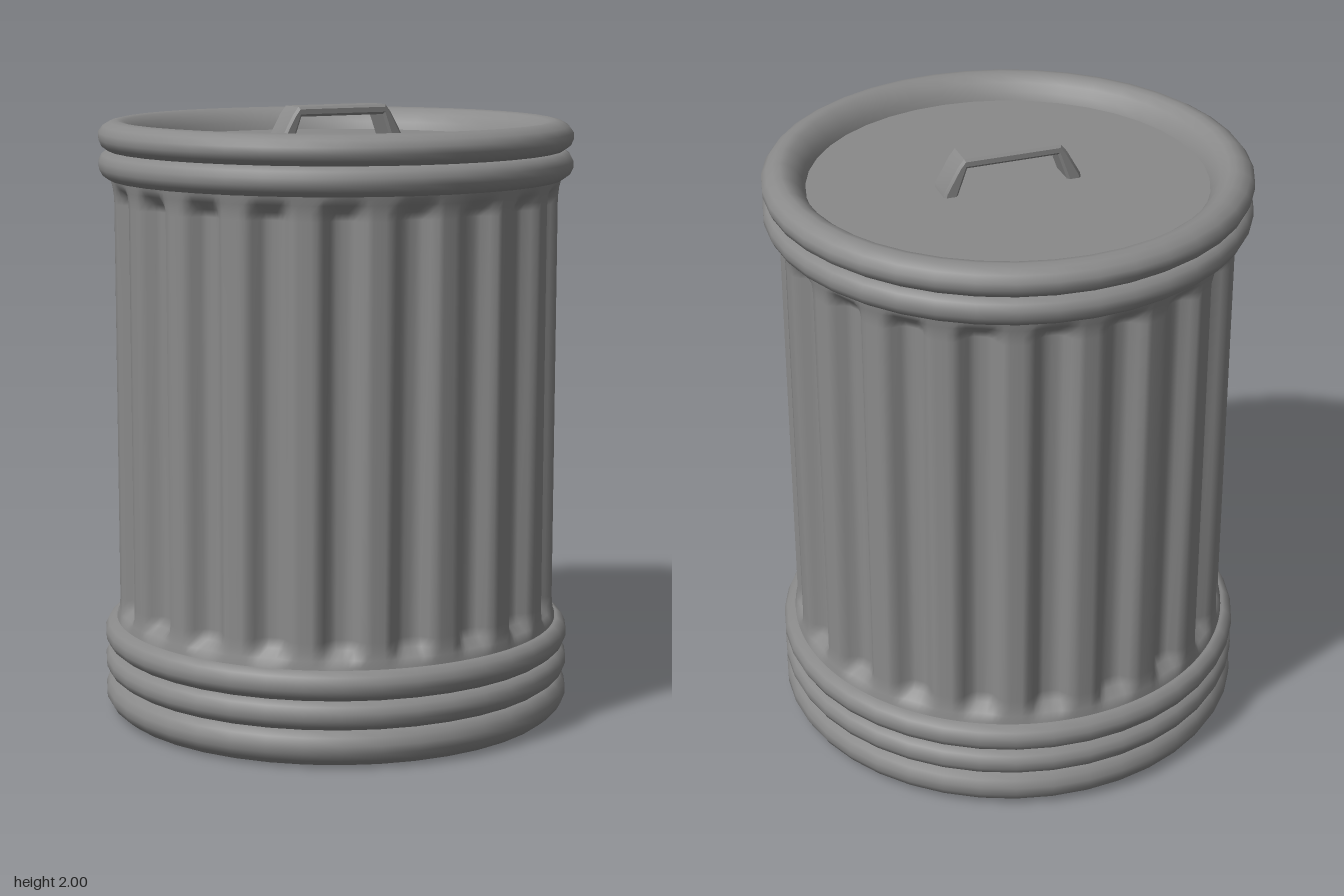
import * as THREE from 'three';
import { mergeVertices, toCreasedNormals } from 'three/addons/utils/BufferGeometryUtils.js';

const SIDES = 40;   // sides of the round hoops
const FLUTES = 20;  // grooves around the body

export function createModel() {
  const model = new THREE.Group();
  model.name = 'trashCan';
  const steel = new THREE.MeshStandardMaterial({ color: 0x8a8a8a });
  steel.name = 'grey steel';

  function add(name, geometry) {
    const mesh = new THREE.Mesh(geometry, steel);
    mesh.name = name;
    model.add(mesh);
    return mesh;
  }
  const lathe = (points) =>
    new THREE.LatheGeometry(points.map(([r, y]) => new THREE.Vector2(r, y)), SIDES);

  // Fluted body: a cylinder whose vertices sink into grooves that fade at both ends
  const levels = [ // height, groove strength, ridge radius
    [0.28, 0, 0.735], [0.315, 0, 0.732], [0.335, 0.25, 0.727], [0.36, 0.75, 0.724], [0.39, 1, 0.723],
    [1.69, 1, 0.723], [1.715, 0.75, 0.724], [1.74, 0.25, 0.727], [1.76, 0, 0.732], [1.79, 0, 0.735],
  ];
  const body = new THREE.CylinderGeometry(1, 1, levels.length - 1, FLUTES * 12, levels.length - 1, true);
  body.deleteAttribute('uv');
  body.deleteAttribute('normal');
  const pos = body.attributes.position;
  const step = (Math.PI * 2) / FLUTES;
  for (let i = 0; i < pos.count; i++) {
    const angle = Math.atan2(pos.getX(i), pos.getZ(i));
    const [y, strength, radius] = levels[Math.round(pos.getY(i) + (levels.length - 1) / 2)];
    const offset = Math.abs(angle / step - Math.round(angle / step)) * 2; // 0 on a ridge, 1 in a groove
    const r = radius - 0.05 * strength * THREE.MathUtils.smoothstep(offset, 0.3, 0.8);
    pos.setXYZ(i, Math.sin(angle) * r, y, Math.cos(angle) * r);
  }
  const fluted = mergeVertices(body, 1e-4);
  fluted.computeVertexNormals();
  add('flutedBody', fluted);

  // Rounded hoops around the foot and under the lid
  function hoop(name, bottom, top) {
    const h = top - bottom;
    add(name, lathe([
      [0.7, bottom], [0.742, bottom], [0.762, bottom + h * 0.16], [0.772, bottom + h * 0.38],
      [0.772, bottom + h * 0.62], [0.762, bottom + h * 0.84], [0.742, top], [0.7, top],
    ]));
  }
  hoop('middleFootHoop', 0.12, 0.213);
  hoop('upperFootHoop', 0.213, 0.308);
  hoop('upperBodyHoop', 1.768, 1.86);

  // Bottom hoop and floor
  add('lowerFootHoop', lathe([
    [0.715, 0], [0.735, 0.006], [0.758, 0.025], [0.772, 0.05], [0.772, 0.075],
    [0.762, 0.1], [0.742, 0.12], [0.7, 0.12],
  ]));
  const floor = add('floor', new THREE.CircleGeometry(0.715, SIDES));
  floor.rotation.set(Math.PI / 2, 0, 0);

  // Lid: rolled rim around a sunken disc
  add('lidRim', lathe([
    [0.7, 1.86], [0.742, 1.86], [0.763, 1.875], [0.772, 1.895], [0.772, 1.917], [0.757, 1.937],
    [0.735, 1.95], [0.712, 1.955], [0.69, 1.95], [0.665, 1.932], [0.645, 1.906], [0.635, 1.88],
  ]));
  const disc = add('lidDisc', new THREE.CircleGeometry(0.636, SIDES));
  disc.rotation.x = -Math.PI / 2;
  disc.position.y = 1.88;

  // Handle: a bent flat bar with sloping legs
  const outline = [
    [-0.23, 1.87], [-0.225, 1.895], [-0.18, 1.975], [-0.16, 2], [0.16, 2], [0.18, 1.975], [0.225, 1.895], [0.23, 1.87],
    [0.185, 1.87], [0.15, 1.968], [-0.15, 1.968], [-0.185, 1.87],
  ].map(([x, y]) => new THREE.Vector2(x, y));
  const bar = new THREE.ExtrudeGeometry(new THREE.Shape(outline), {
    depth: 0.088, bevelEnabled: true, bevelThickness: 0.008, bevelSize: 0.008, bevelOffset: -0.008, bevelSegments: 1,
  });
  bar.translate(0, 0, -0.044);
  add('handle', toCreasedNormals(bar, 0.6));

  return model;
}
